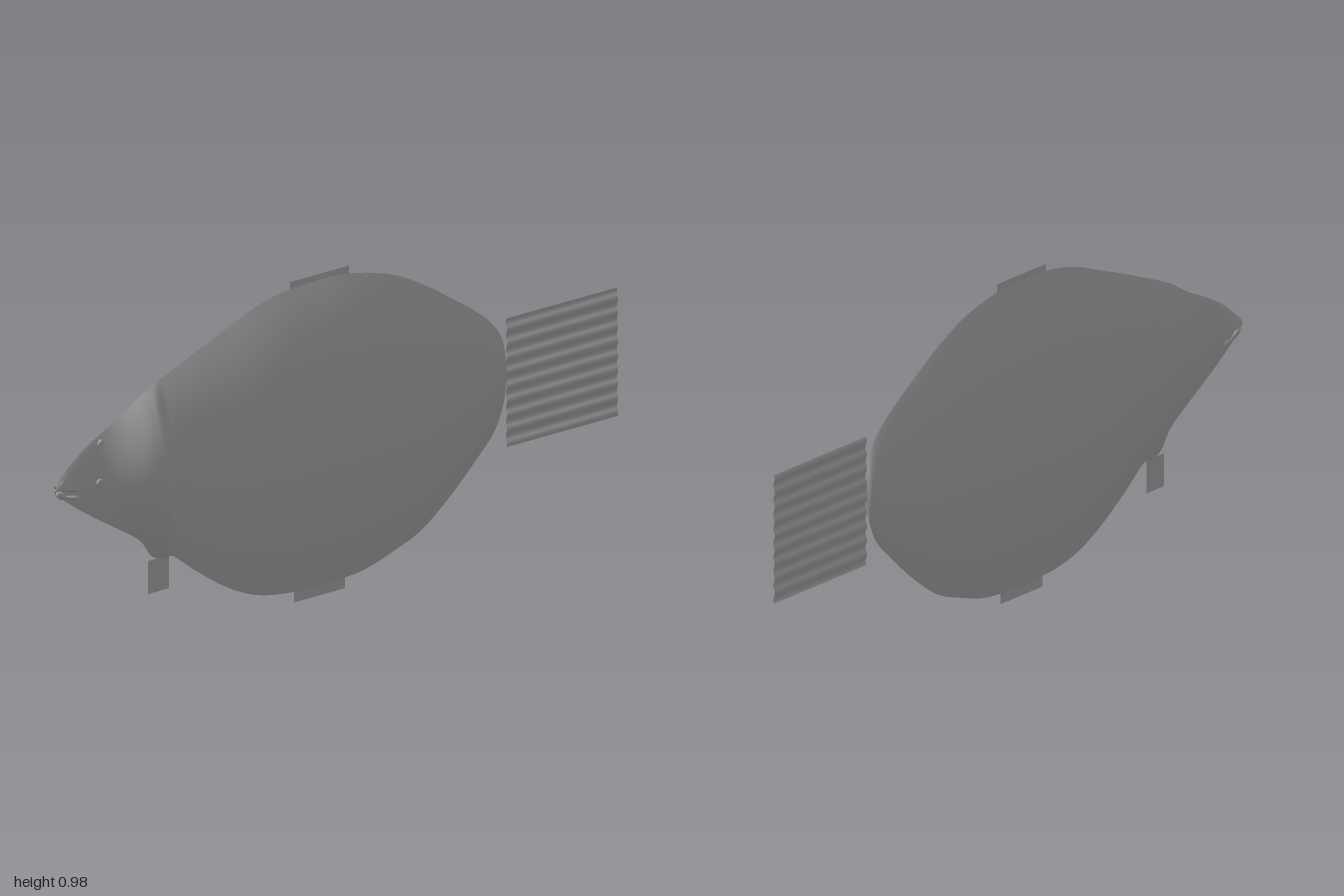
import * as THREE from 'three';

// Body stations: x, top edge y, bottom edge y, half thickness
const STATIONS = [
  [-1, 0.56, 0.53, 0.002], [-0.93, 0.62, 0.475, 0.006], [-0.85, 0.67, 0.42, 0.01],
  [-0.78, 0.705, 0.375, 0.017], [-0.7, 0.755, 0.32, 0.027], [-0.66, 0.775, 0.265, 0.031],
  [-0.62, 0.793, 0.245, 0.034], [-0.58, 0.81, 0.243, 0.037], [-0.5, 0.845, 0.18, 0.043],
  [-0.4, 0.885, 0.11, 0.051], [-0.3, 0.925, 0.06, 0.057], [-0.2, 0.95, 0.037, 0.06],
  [-0.1, 0.956, 0.031, 0.061], [0, 0.956, 0.031, 0.061], [0.1, 0.94, 0.04, 0.06],
  [0.2, 0.91, 0.07, 0.055], [0.3, 0.86, 0.11, 0.048], [0.4, 0.795, 0.185, 0.039],
  [0.5, 0.725, 0.28, 0.027], [0.56, 0.67, 0.345, 0.019], [0.59, 0.62, 0.41, 0.012],
  [0.605, 0.55, 0.48, 0.002],
];

const spline = (pick) => new THREE.CatmullRomCurve3(
  STATIONS.map((s) => new THREE.Vector3(...pick(s))), false, 'catmullrom', 0.5);
const outline = spline((s) => [s[0], s[1], s[2]]);
const thickness = spline((s) => [s[0], s[3], 0]);

// One half of the lens-shaped body; side is +1 (front) or -1 (back)
function bodySide(side) {
  const geo = new THREE.PlaneGeometry(1, 1, 126, 48);
  if (side < 0) geo.rotateY(Math.PI);
  const pos = geo.attributes.position;
  const gill = side > 0 ? 0.028 : 0.005;
  for (let i = 0; i < pos.count; i++) {
    const u = THREE.MathUtils.clamp(pos.getX(i) + 0.5, 0, 1);
    const w = pos.getY(i) + 0.5;
    const o = outline.getPoint(u);
    const y = THREE.MathUtils.lerp(o.z, o.y, w);
    const v = 2 * w - 1;
    let z = thickness.getPoint(u).y * (1 - v * v);
    // Gill cover: rises gently, then drops behind a slanted rim
    const d = o.x + 0.635 - 0.1 * (0.42 - y);
    const rise = THREE.MathUtils.smoothstep(d, -0.2, 0);
    const fall = 1 - THREE.MathUtils.smoothstep(d, 0.005, 0.045);
    z += gill * rise * fall * (1 - v * v);
    // Mouth crease behind the lips
    const m = Math.abs(y - (0.535 - 0.25 * (o.x + 1)));
    if (o.x < -0.92) z += 0.006 * (1 - v * v) * (m < 0.008 ? -0.4 : Math.exp(-m * 40));
    pos.setXYZ(i, o.x, y, side * z);
  }
  geo.computeVertexNormals();
  return geo;
}

// Flat or rippled fin sheet between two corners
function finSheet(x0, x1, y0, y1, ripples = 0, depth = 0) {
  const geo = new THREE.PlaneGeometry(x1 - x0, y1 - y0, 1, ripples ? ripples * 8 : 1);
  geo.translate((x0 + x1) / 2, (y0 + y1) / 2, 0);
  const pos = geo.attributes.position;
  for (let i = 0; i < pos.count; i++) {
    const t = (pos.getY(i) - y0) / (y1 - y0);
    pos.setZ(i, depth * Math.sin(t * ripples * Math.PI * 2));
  }
  geo.computeVertexNormals();
  return geo;
}

export function createModel() {
  const group = new THREE.Group();
  const grey = new THREE.MeshStandardMaterial({ color: 0xb8b8b8, side: THREE.DoubleSide });
  grey.name = 'plain grey';
  const add = (name, geo) => {
    const mesh = new THREE.Mesh(geo, grey);
    mesh.name = name;
    group.add(mesh);
    return mesh;
  };

  add('bodyFront', bodySide(1));
  add('bodyBack', bodySide(-1));

  // Fins
  add('tailFin', finSheet(0.605, 1, 0.29, 0.68, 9, 0.003));
  add('dorsalFin', finSheet(-0.165, 0.045, 0.945, 0.975));
  add('analFin', finSheet(-0.15, 0.03, 0, 0.04));
  add('pectoralFin', finSheet(-0.67, -0.595, 0.15, 0.25));

  // Small eyes on the front of the head
  for (const [x, y, z] of [[-0.84, 0.65, 0.003], [-0.85, 0.535, 0.01]]) {
    const eye = add('eye', new THREE.SphereGeometry(0.011, 16, 10));
    eye.scale.z = 0.4;
    eye.position.set(x, y, z);
  }
  // Lips at the tip of the snout
  for (const [y, tilt] of [[0.555, 0.6], [0.522, -0.6]]) {
    const lip = add('lip', new THREE.SphereGeometry(0.022, 16, 10));
    lip.scale.set(1, 0.5, 0.25);
    lip.rotation.z = tilt;
    lip.position.set(-0.978, y, 0);
  }
  return group;
}
